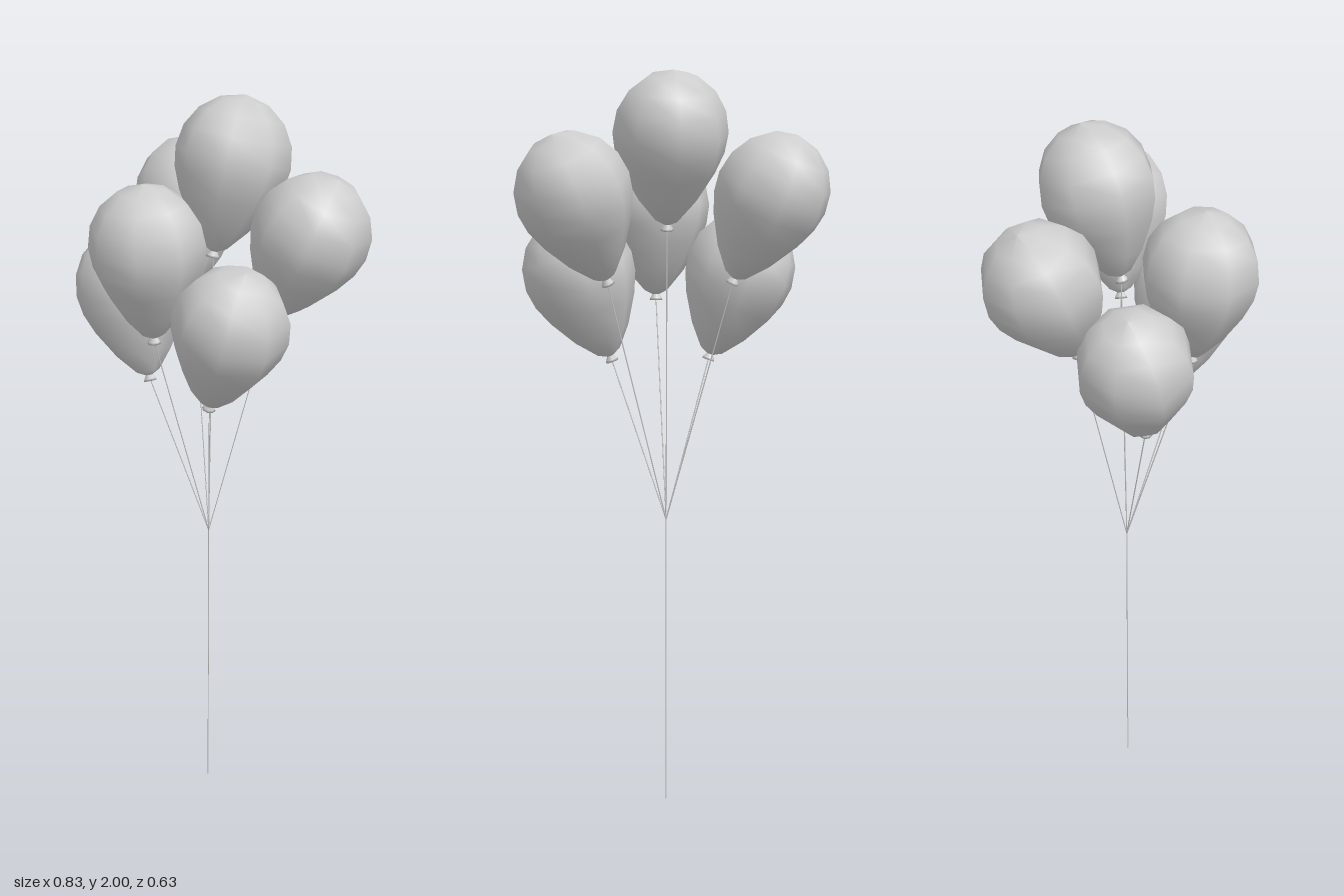
import * as THREE from 'three';

const SIDES = 8;
const HUB = new THREE.Vector3(0, 0.8, -0.035);
const UP = new THREE.Vector3(0, 1, 0);

const lathe = (points) =>
  new THREE.LatheGeometry(points.map(([r, y]) => new THREE.Vector2(r, y)), SIDES);

export function createModel() {
  const model = new THREE.Group();
  model.name = 'balloonBunch';

  const grey = new THREE.MeshStandardMaterial({ color: 0xcccccc });
  grey.name = 'light grey';

  // Teardrop body, measured upward from the knot
  const bodyGeometry = lathe([
    [0.008, 0.016], [0.032, 0.028], [0.078, 0.082], [0.122, 0.155], [0.145, 0.21],
    [0.153, 0.262], [0.143, 0.32], [0.113, 0.371], [0.064, 0.409], [0, 0.425],
  ]);
  // Small flared knot with a closed underside
  const knotGeometry = lathe([[0, 0.004], [0.018, 0], [0.016, 0.006], [0.007, 0.02]]);

  const add = (parent, geometry, name) => {
    const mesh = new THREE.Mesh(geometry, grey);
    mesh.name = name;
    parent.add(mesh);
    return mesh;
  };

  // Thin straight string between two points
  const addString = (from, to, name) => {
    const span = to.clone().sub(from);
    const geometry = new THREE.CylinderGeometry(0.0016, 0.0016, span.length(), 4);
    const mesh = add(model, geometry, name);
    mesh.position.copy(from).addScaledVector(span, 0.5);
    mesh.quaternion.setFromUnitVectors(UP, span.normalize());
  };

  // Balloon placed by its knot and leaning by (leanX, leanZ) at its widest ring
  const addBalloon = (name, x, y, z, leanX, leanZ) => {
    const knot = new THREE.Vector3(x, y, z);
    const rise = Math.sqrt(0.262 ** 2 - leanX ** 2 - leanZ ** 2);
    const axis = new THREE.Vector3(leanX, rise, leanZ).normalize();
    const balloon = new THREE.Group();
    balloon.name = name;
    balloon.position.copy(knot);
    balloon.quaternion.setFromUnitVectors(UP, axis);
    add(balloon, bodyGeometry, name + 'Body');
    add(balloon, knotGeometry, name + 'Knot');
    model.add(balloon);
    addString(HUB, knot.addScaledVector(axis, 0.008), name + 'String');
  };

  // Centre balloons
  addBalloon('topBalloon', 0, 1.584, -0.045, 0, -0.065);
  addBalloon('frontBalloon', 0, 1.385, 0.143, 0, 0.02);

  // Mirrored side balloons
  for (const [side, s] of [['left', 1], ['right', -1]]) {
    addBalloon(side + 'BackBalloon', s * 0.165, 1.445, -0.105, s * 0.095, -0.055);
    addBalloon(side + 'LowerBalloon', s * 0.133, 1.225, 0.065, s * 0.09, 0);
  }

  // Single string from the gathering point to the ground
  addString(new THREE.Vector3(0, 0, HUB.z), HUB, 'mainString');

  return model;
}
